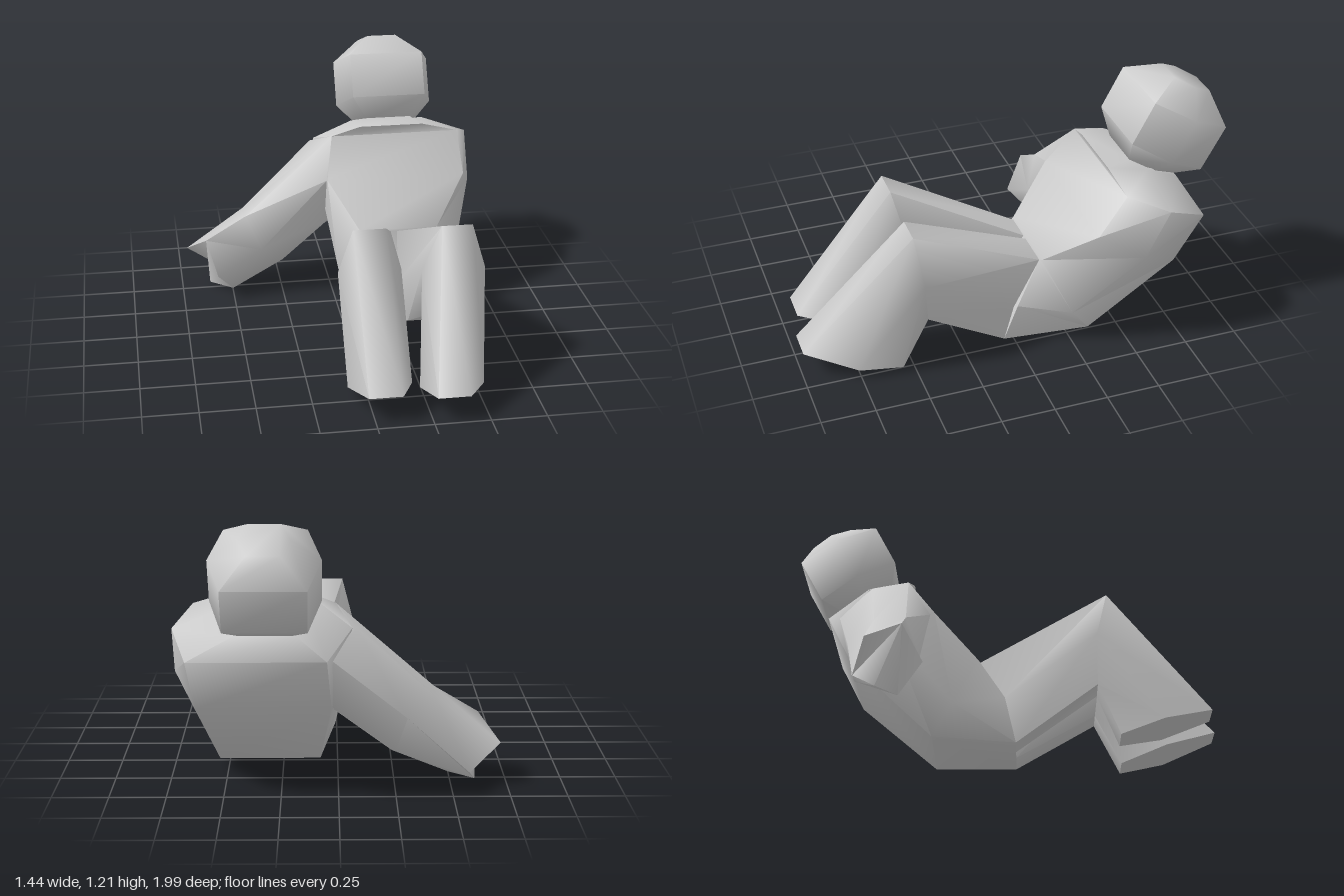
import * as THREE from 'three';
import { toCreasedNormals } from 'three/addons/utils/BufferGeometryUtils.js';

const material = new THREE.MeshStandardMaterial({ color: 0xcccccc });

// Skin a list of six-sided rings and close both ends.
function loft(name, rings) {
  const n = rings[0].length;
  const points = rings.flat().map((p) => new THREE.Vector3(...p));
  const faces = [];
  for (let r = 0; r < rings.length - 1; r++) {
    for (let i = 0; i < n; i++) {
      const j = (i + 1) % n, a = r * n, b = a + n;
      faces.push([a + i, a + j, b + j], [a + i, b + j, b + i]);
    }
  }
  const end = (rings.length - 1) * n;
  for (let i = 1; i < n - 1; i++) {
    faces.push([0, i + 1, i], [end, end + i, end + i + 1]);
  }
  // Turn every face outward if the rings run the other way round.
  let volume = 0;
  const cross = new THREE.Vector3();
  for (const [a, b, c] of faces) volume += points[a].dot(cross.crossVectors(points[b], points[c]));
  if (volume < 0) faces.forEach((f) => f.reverse());

  const geometry = new THREE.BufferGeometry().setFromPoints(points);
  geometry.setIndex(faces.flat());
  const mesh = new THREE.Mesh(toCreasedNormals(geometry, 1.25), material);
  mesh.name = name;
  return mesh;
}

// Hexagonal ring: front, middle and back rows as [xMin, xMax, y, z].
function hex(front, middle, back) {
  const at = ([x0, x1, y, z], side) => [side ? x1 : x0, y, z];
  return [at(front, 0), at(front, 1), at(middle, 1), at(back, 1), at(back, 0), at(middle, 0)];
}

export function createModel() {
  const figure = new THREE.Group();
  figure.name = 'recliningFigure';

  // Torso: hips, waist, chest, shoulders, collar, neck base
  figure.add(loft('torso', [
    hex([0.11, 0.46, 0.42, -0.12], [0.05, 0.51, 0.22, 0.0], [0.1, 0.47, 0.015, 0.05]),
    hex([0.1, 0.48, 0.43, -0.125], [0.01, 0.59, 0.18, -0.24], [0.08, 0.54, 0.04, -0.34]),
    hex([-0.03, 0.65, 0.62, -0.33], [-0.04, 0.72, 0.51, -0.53], [0.03, 0.62, 0.39, -0.72]),
    hex([0.01, 0.64, 0.8, -0.46], [-0.06, 0.72, 0.73, -0.64], [0.05, 0.65, 0.63, -0.84]),
    hex([0.15, 0.46, 0.85, -0.44], [0.13, 0.49, 0.82, -0.62], [0.18, 0.45, 0.73, -0.79]),
    hex([0.2, 0.42, 0.85, -0.56], [0.17, 0.45, 0.8, -0.67], [0.2, 0.42, 0.74, -0.78]),
  ]));

  // Head: neck, jaw, brow, crown
  const headRing = (front, back, endHalf, midHalf) => {
    const c = 0.31;
    const mid = [(front[0] + back[0]) / 2, (front[1] + back[1]) / 2];
    return hex([c - endHalf, c + endHalf, ...front], [c - midHalf, c + midHalf, ...mid],
      [c - endHalf, c + endHalf, ...back]);
  };
  figure.add(loft('head', [
    headRing([0.845, -0.56], [0.73, -0.78], 0.11, 0.15),
    headRing([0.97, -0.54], [0.77, -0.89], 0.18, 0.24),
    headRing([1.16, -0.64], [0.97, -1.0], 0.18, 0.24),
    headRing([1.21, -0.78], [1.11, -0.96], 0.07, 0.11),
  ]));

  // Legs: hip, knee, ankle
  figure.add(loft('rightLeg', [
    hex([0.11, 0.25, 0.42, -0.12], [0.05, 0.265, 0.22, 0.0], [0.1, 0.23, 0.015, 0.05]),
    hex([-0.03, 0.12, 0.705, 0.48], [-0.09, 0.2, 0.48, 0.43], [-0.03, 0.12, 0.25, 0.43]),
    hex([-0.03, 0.12, 0.12, 0.95], [-0.09, 0.2, 0.06, 0.73], [-0.03, 0.13, 0.005, 0.53]),
  ]));
  figure.add(loft('leftLeg', [
    hex([0.28, 0.46, 0.42, -0.12], [0.265, 0.51, 0.22, 0.02], [0.31, 0.47, 0.015, 0.05]),
    hex([0.37, 0.51, 0.705, 0.49], [0.29, 0.58, 0.48, 0.46], [0.37, 0.51, 0.25, 0.43]),
    hex([0.265, 0.41, 0.12, 0.99], [0.23, 0.52, 0.05, 0.76], [0.35, 0.5, 0.0, 0.55]),
  ]));

  // Supporting arm: shoulder, elbow, wrist
  figure.add(loft('rightArm', [
    [[0.01, 0.8, -0.46], [-0.08, 0.725, -0.62], [0.05, 0.64, -0.79],
      [0.04, 0.4, -0.71], [0.0, 0.34, -0.5], [-0.03, 0.61, -0.35]],
    [[-0.43, 0.41, -0.43], [-0.43, 0.4, -0.57], [-0.3, 0.34, -0.7],
      [-0.25, 0.18, -0.67], [-0.24, 0.13, -0.5], [-0.36, 0.25, -0.37]],
    [[-0.63, 0.29, -0.43], [-0.72, 0.19, -0.58], [-0.58, 0.07, -0.64],
      [-0.61, 0.01, -0.54], [-0.5, 0.01, -0.45], [-0.58, 0.13, -0.34]],
  ]));

  return figure;
}
